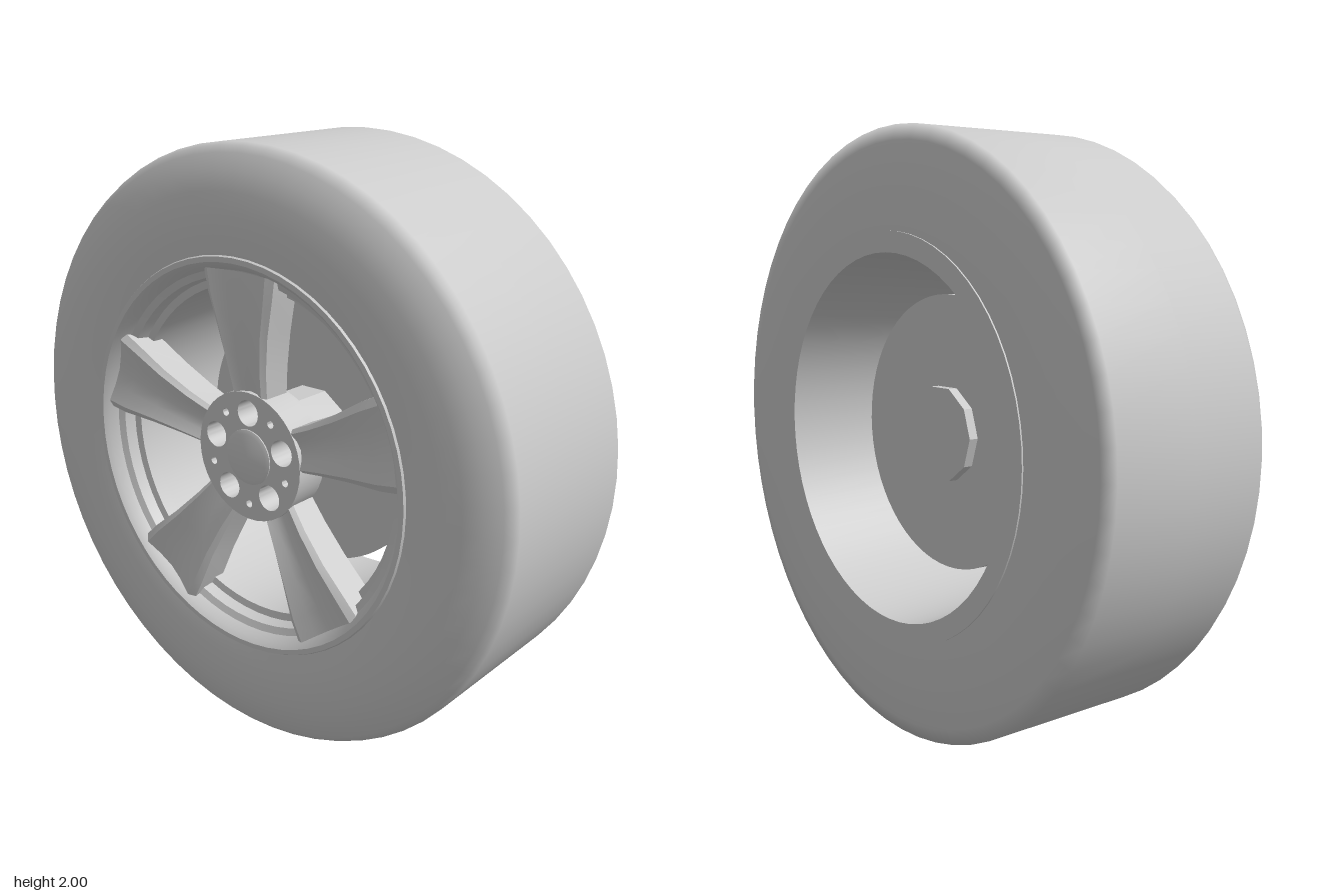
import * as THREE from 'three';
import { toCreasedNormals } from 'three/addons/utils/BufferGeometryUtils.js';

const material = new THREE.MeshStandardMaterial({ color: 0xcccccc, side: THREE.DoubleSide });
const SPOKES = 5;
const STEP = (Math.PI * 2) / SPOKES;

function addMesh(parent, name, geometry) {
  const mesh = new THREE.Mesh(geometry, material);
  mesh.name = name;
  parent.add(mesh);
  return mesh;
}

// Revolves [radius, x] points around the axle (the x axis)
function revolve(points, crease, segments = 64) {
  const g = new THREE.LatheGeometry(points.map(([r, x]) => new THREE.Vector2(r, x)), segments);
  g.rotateZ(-Math.PI / 2);
  return crease ? toCreasedNormals(g, crease) : g;
}

// Cylinder along the axle between two x positions
function axleCylinder(radius, x0, x1, sides) {
  const g = new THREE.CylinderGeometry(radius, radius, x1 - x0, sides);
  g.rotateZ(-Math.PI / 2);
  g.translate((x0 + x1) / 2, 0, 0);
  return toCreasedNormals(g, 0.6);
}

// Spoke lofted outward through sections with a shallow valley in the face
function spokeGeometry() {
  // radius, half width, face x, back x
  const stations = [
    [0.2, 0.07, -0.288, -0.18],
    [0.3, 0.083, -0.306, -0.19],
    [0.42, 0.105, -0.322, -0.2],
    [0.54, 0.135, -0.333, -0.21],
    [0.615, 0.148, -0.335, -0.25],
  ];
  const positions = [];
  const index = [];
  for (const [r, w, face, back] of stations) {
    const section = [
      [-w, back], [-w, face + 0.014], [-0.82 * w, face], [-0.4 * w, face + 0.014], [0, face + 0.02],
      [0.4 * w, face + 0.014], [0.82 * w, face], [w, face + 0.014], [w, back],
    ];
    for (const [z, x] of section) positions.push(x, r, z);
  }
  const n = positions.length / 3 / stations.length;
  for (let i = 0; i < stations.length - 1; i++) {
    for (let j = 0; j < n; j++) {
      const a = i * n + j, b = i * n + ((j + 1) % n);
      index.push(a, b, a + n, b, b + n, a + n);
    }
  }
  const g = new THREE.BufferGeometry();
  g.setAttribute('position', new THREE.Float32BufferAttribute(positions, 3));
  g.setIndex(index);
  return toCreasedNormals(g, 0.65);
}

// Round hub plate with bolt holes and small holes between them
function hubGeometry() {
  const shape = new THREE.Shape();
  shape.absarc(0, 0, 0.22, 0, Math.PI * 2);
  const hole = (angle, distance, radius) => {
    const path = new THREE.Path();
    path.absarc(Math.cos(angle) * distance, Math.sin(angle) * distance, radius, 0, Math.PI * 2, true);
    shape.holes.push(path);
  };
  for (let k = 0; k < SPOKES; k++) {
    const angle = Math.PI / 2 + k * STEP;
    hole(angle, 0.15, 0.044);
    hole(angle + STEP / 2, 0.165, 0.013);
  }
  const g = new THREE.ExtrudeGeometry(shape, { depth: 0.11, bevelEnabled: false, curveSegments: 20 });
  g.rotateY(-Math.PI / 2);
  g.translate(-0.18, 0, 0);
  return toCreasedNormals(g, 0.6);
}

export function createModel() {
  const model = new THREE.Group();
  model.name = 'carWheel';
  const wheel = new THREE.Group();
  wheel.name = 'wheel';
  wheel.position.y = 1;
  model.add(wheel);

  // Tyre
  addMesh(wheel, 'tyre', revolve([
    [0.65, -0.34], [0.72, -0.352], [0.79, -0.355], [0.86, -0.349], [0.92, -0.333], [0.97, -0.31],
    [0.99, -0.295], [1, -0.275], [1, 0], [1, 0.31], [0.95, 0.324], [0.86, 0.341],
    [0.76, 0.348], [0.65, 0.35],
  ]));

  // Rim: inner flange, tapering barrel and outer lip
  addMesh(wheel, 'rim', revolve([
    [0.67, 0.34], [0.67, 0.355], [0.602, 0.355], [0.56, -0.2], [0.56, -0.25], [0.585, -0.255],
    [0.592, -0.295], [0.615, -0.305], [0.63, -0.335], [0.645, -0.35], [0.662, -0.35], [0.67, -0.335],
  ], 0.5));

  // Spokes
  const spoke = spokeGeometry();
  for (let k = 0; k < SPOKES; k++) {
    addMesh(wheel, 'spoke', spoke).rotation.x = k * STEP;
  }

  // Hub, centre cap and bolts
  addMesh(wheel, 'hub', hubGeometry());
  addMesh(wheel, 'hubBacking', axleCylinder(0.215, -0.2, -0.165, 40));
  addMesh(wheel, 'centreCap', revolve([
    [0, -0.298], [0.08, -0.298], [0.094, -0.293], [0.096, -0.28],
  ], 0.5, 32));
  for (let k = 0; k < SPOKES; k++) {
    const bolt = addMesh(wheel, 'bolt', axleCylinder(0.025, -0.225, -0.19, 6));
    const angle = Math.PI / 2 + k * STEP;
    bolt.position.set(0, Math.sin(angle) * 0.15, Math.cos(angle) * 0.15);
  }

  // Brake disc and the ten-sided axle through it
  addMesh(wheel, 'brakeDisc', axleCylinder(0.465, 0.04, 0.11, 64));
  const axle = addMesh(wheel, 'axle', axleCylinder(0.163, -0.17, 0.143, 10));
  axle.rotation.x = 0;

  return model;
}
